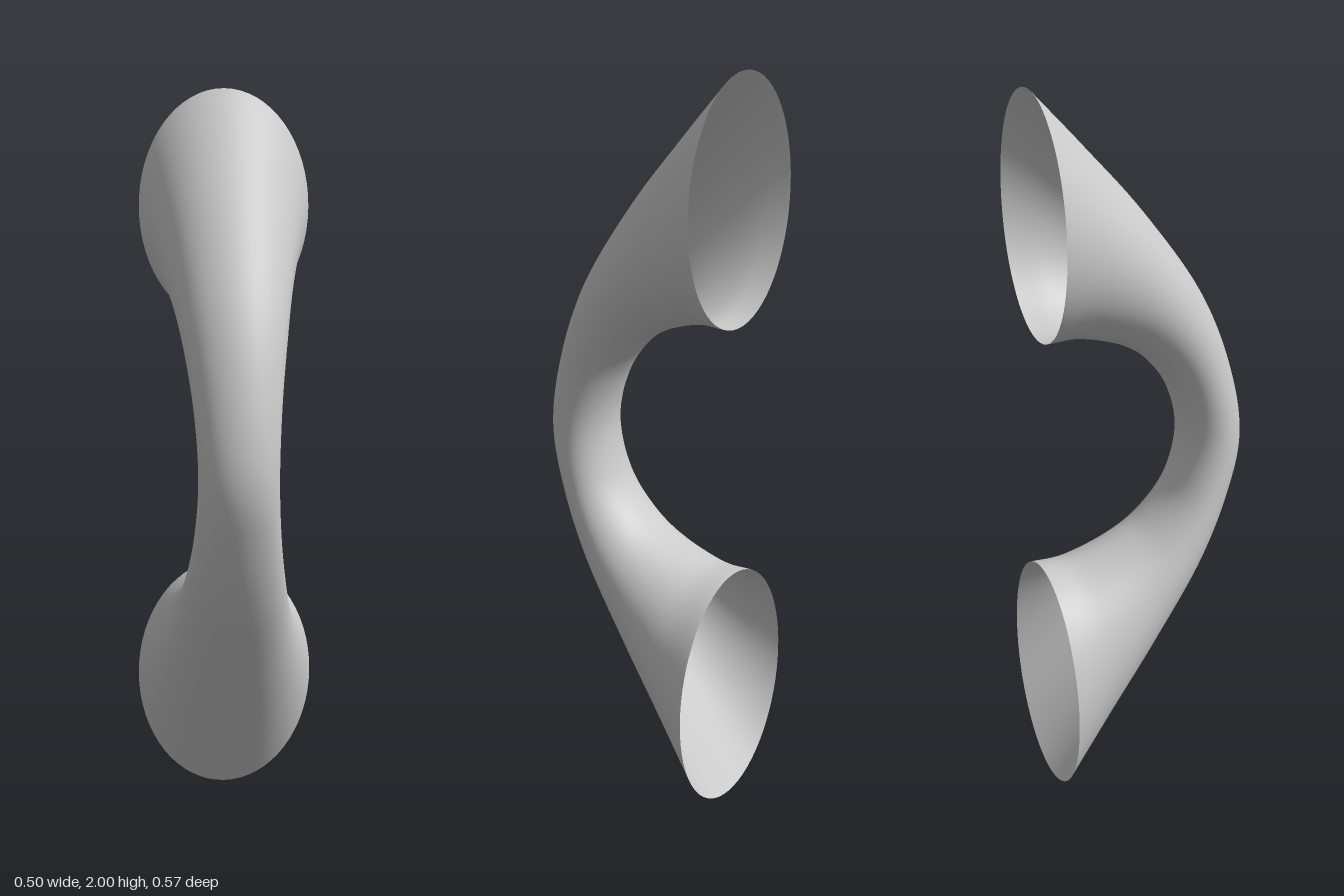
import * as THREE from 'three';

// Stations from top to bottom: outer z, outer y, inner z, inner y, half width
const STATIONS = [
  [-0.283, 2.0, -0.283, 1.36, 0.235],
  [-0.15, 1.848, -0.19, 1.358, 0.2],
  [0.0, 1.668, -0.07, 1.318, 0.165],
  [0.155, 1.44, 0.015, 1.255, 0.136],
  [0.245, 1.22, 0.085, 1.15, 0.114],
  [0.283, 1.01, 0.115, 1.015, 0.105],
  [0.245, 0.83, 0.085, 0.87, 0.114],
  [0.155, 0.625, 0.015, 0.775, 0.136],
  [0.0, 0.39, -0.07, 0.72, 0.168],
  [-0.15, 0.185, -0.19, 0.678, 0.21],
  [-0.283, 0.0, -0.283, 0.676, 0.25],
];

// Sweeps elliptical sections between an outer and an inner guide curve
function sweepGeometry(rings, sides) {
  const guide = (f) => new THREE.CatmullRomCurve3(STATIONS.map(f), false, 'catmullrom', 0.5);
  const outer = guide(([z, y, , , w]) => new THREE.Vector3(w, y, z));
  const inner = guide(([, , z, y]) => new THREE.Vector3(0, y, z));
  const positions = [], indices = [];
  for (let i = 0; i <= rings; i++) {
    const o = outer.getPoint(i / rings), n = inner.getPoint(i / rings);
    for (let j = 0; j < sides; j++) {
      const a = (j / sides) * Math.PI * 2, k = (1 + Math.cos(a)) / 2;
      positions.push(o.x * Math.sin(a), n.y + (o.y - n.y) * k, n.z + (o.z - n.z) * k);
      if (i < rings) {
        const p = i * sides + j, q = i * sides + ((j + 1) % sides);
        indices.push(p, p + sides, q, q, p + sides, q + sides);
      }
    }
  }
  const geometry = new THREE.BufferGeometry();
  geometry.setAttribute('position', new THREE.Float32BufferAttribute(positions, 3));
  geometry.setIndex(indices);
  geometry.computeVertexNormals();
  return geometry;
}

export function createModel() {
  const group = new THREE.Group();
  group.name = 'pullHandle';
  // Curved grip flaring to an open oval mouth at each end
  const grip = new THREE.Mesh(
    sweepGeometry(80, 64),
    new THREE.MeshStandardMaterial({ color: 0xcccccc, side: THREE.DoubleSide })
  );
  grip.name = 'flaredGrip';
  group.add(grip);
  return group;
}
